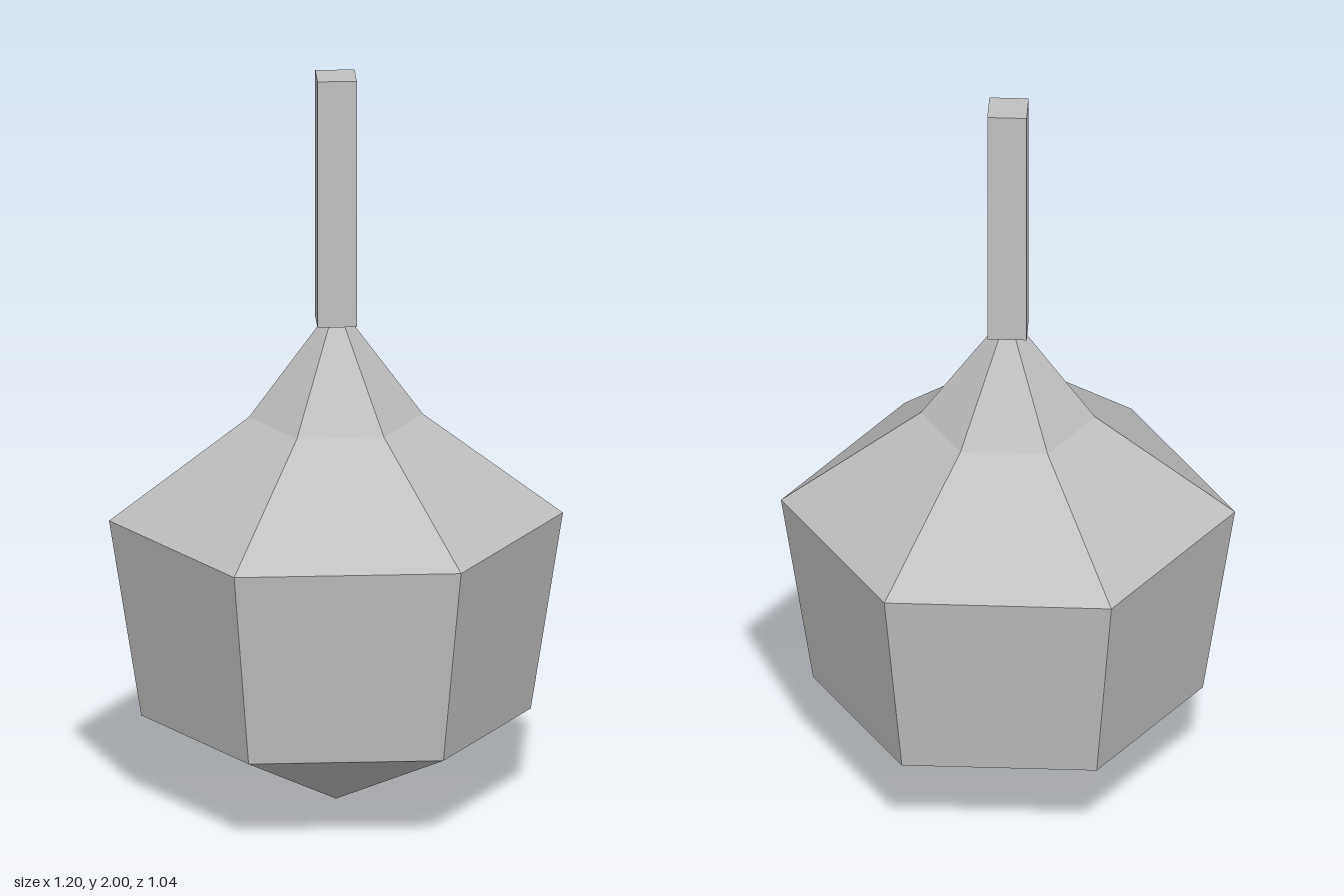
import * as THREE from 'three';

export function createModel() {
  const model = new THREE.Group();
  const grey = new THREE.MeshStandardMaterial({ color: 0xc0c0c0 });
  grey.name = 'light grey';
  grey.flatShading = true;

  // Six-sided body: pointed tip, flared sides, shoulder and tapering neck
  const profile = [[0, 0], [0.515, 0.24], [0.6, 0.78], [0.23, 1.06], [0.04, 1.32], [0, 1.32]]
    .map(([r, y]) => new THREE.Vector2(r, y));
  const body = new THREE.Mesh(new THREE.LatheGeometry(profile, 6, Math.PI / 2), grey);
  body.name = 'body';
  model.add(body);

  // Square stem
  const stem = new THREE.Mesh(new THREE.BoxGeometry(0.104, 0.68, 0.104), grey);
  stem.name = 'stem';
  stem.position.y = 1.66;
  model.add(stem);

  return model;
}
